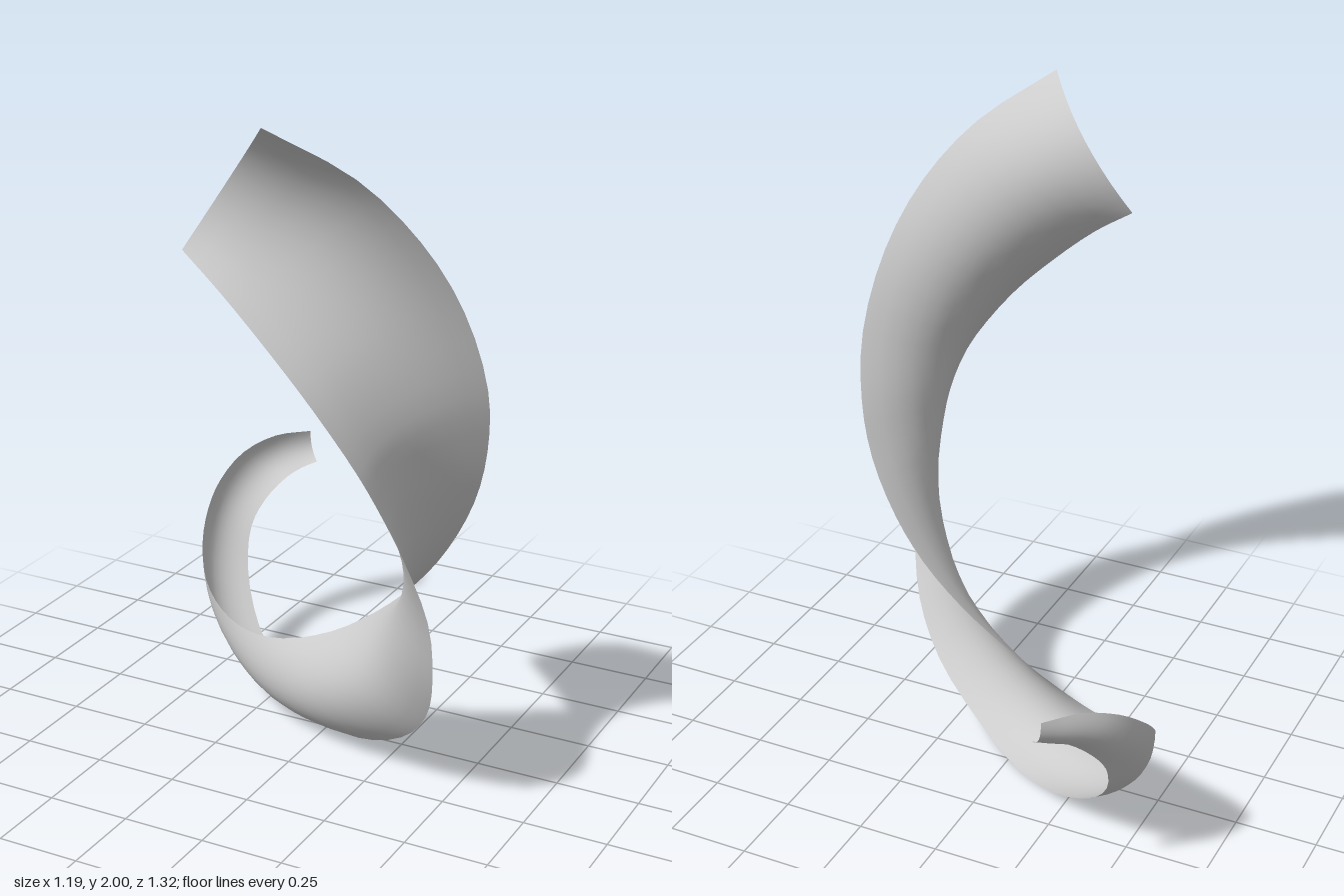
import * as THREE from 'three';

const curve = (pts) => new THREE.CatmullRomCurve3(pts.map((p) => new THREE.Vector3(...p)));

// The two long edges of the ribbon, with matching stations from top to tail
const edgeA = curve([
  [0.16, 2, 0.66], [0.35, 1.86, 0.515], [0.48, 1.69, 0.41], [0.56, 1.49, 0.31], [0.595, 1.25, 0.22],
  [0.57, 1.05, 0.155], [0.52, 0.88, 0.12], [0.43, 0.71, 0.095], [0.33, 0.58, 0.082], [0.2, 0.46, 0.076],
  [0.05, 0.36, 0.07], [-0.13, 0.285, 0.045], [-0.28, 0.26, 0], [-0.4, 0.28, -0.055], [-0.5, 0.33, -0.13],
  [-0.565, 0.41, -0.22], [-0.595, 0.49, -0.31], [-0.595, 0.56, -0.39], [-0.56, 0.63, -0.48],
  [-0.49, 0.67, -0.57], [-0.41, 0.67, -0.66],
]);
const edgeB = curve([
  [-0.13, 1.63, 0.57], [0, 1.54, 0.6], [0.15, 1.41, 0.62], [0.29, 1.27, 0.63], [0.41, 1.11, 0.615],
  [0.475, 0.99, 0.595], [0.52, 0.88, 0.57], [0.56, 0.68, 0.5], [0.54, 0.47, 0.42], [0.47, 0.29, 0.31],
  [0.35, 0.15, 0.21], [0.15, 0.04, 0.09], [-0.05, 0, -0.04], [-0.22, 0.04, -0.15], [-0.38, 0.14, -0.255],
  [-0.48, 0.28, -0.36], [-0.505, 0.4, -0.43], [-0.485, 0.475, -0.485], [-0.44, 0.54, -0.55],
  [-0.405, 0.565, -0.6], [-0.37, 0.58, -0.63],
]);

export function createModel() {
  const along = 60, across = 10, bow = 0.22;
  const middle = (t) => edgeA.getPoint(t).add(edgeB.getPoint(t)).multiplyScalar(0.5);

  // Sheet whose cross-section is a shallow arc between the edges
  const geo = new THREE.PlaneGeometry(1, 1, across, along);
  const pos = geo.attributes.position;
  for (let i = 0; i <= along; i++) {
    const t = i / along;
    const a = edgeA.getPoint(t);
    const chord = edgeB.getPoint(t).sub(a);
    const dir = middle(Math.min(1, t + 0.02)).sub(middle(Math.max(0, t - 0.02)));
    const depth = chord.length() * bow;
    const out = dir.cross(chord).normalize();
    for (let j = 0; j <= across; j++) {
      const s = j / across;
      const p = a.clone().addScaledVector(chord, s).addScaledVector(out, depth * 4 * s * (1 - s));
      pos.setXYZ(i * (across + 1) + j, p.x, p.y, p.z);
    }
  }
  geo.computeVertexNormals();

  const ribbon = new THREE.Mesh(
    geo,
    new THREE.MeshStandardMaterial({ color: 0xcccccc, side: THREE.DoubleSide }),
  );
  ribbon.name = 'twistedRibbon';
  const group = new THREE.Group();
  group.name = 'ribbonSculpture';
  group.add(ribbon);
  return group;
}
